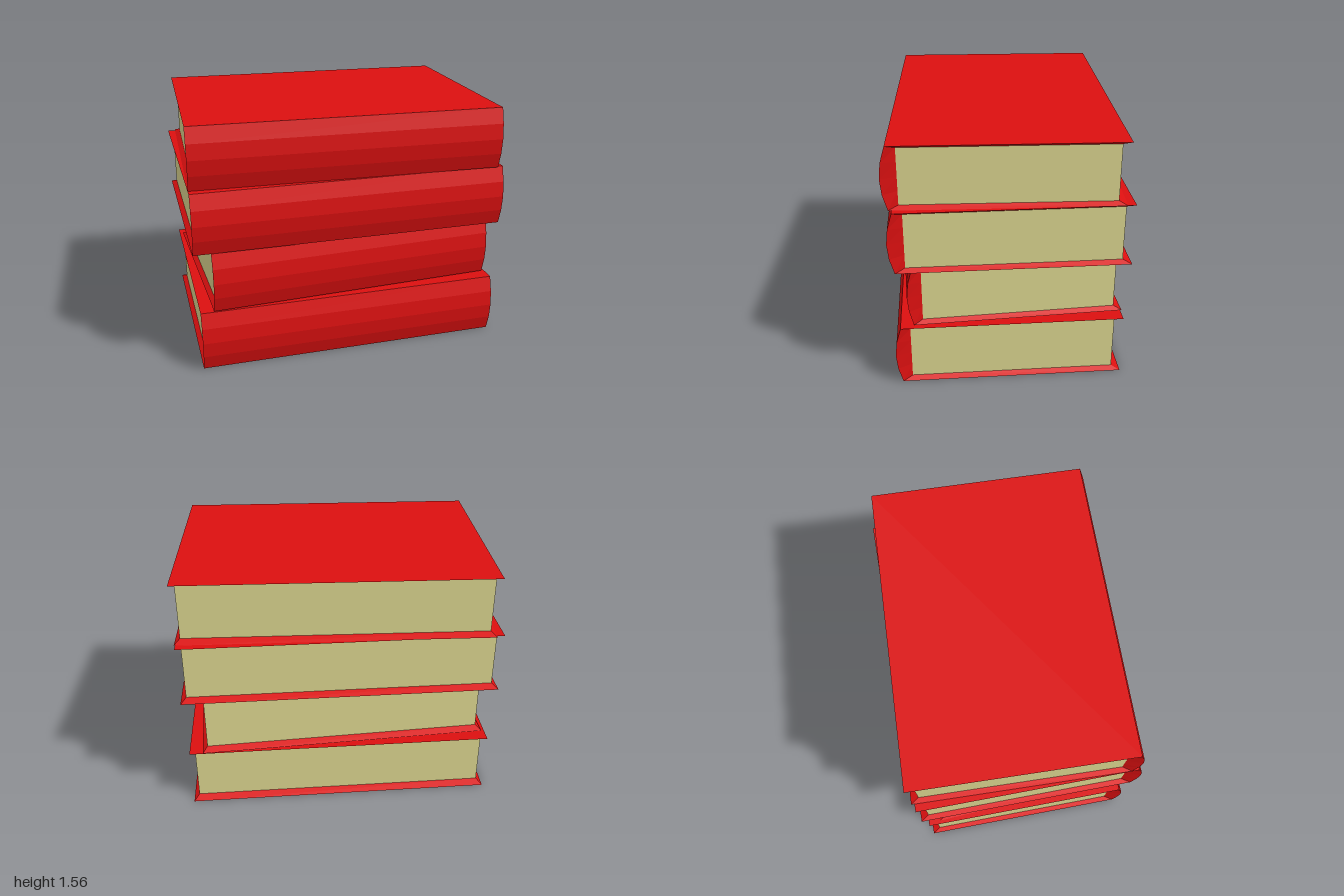
import * as THREE from 'three';

const red = new THREE.MeshStandardMaterial({ color: 0xdc1010, flatShading: true });
const paper = new THREE.MeshStandardMaterial({ color: 0xe0da92, flatShading: true });

const H = 0.388;                                  // book thickness
const BOARD = 0.02;                               // cover board thickness
const OUT_X = 0.972, IN_X = 0.94;                 // half lengths of cover and pages
const PAGE_BACK = -0.635, PAGE_FRONT = 0.627;

// Cover profiles as [z, y], running from the lower back edge round the spine to the upper back edge
const outer = [[-0.685, 0], [0.685, 0], [0.713, H / 4], [0.723, H / 2], [0.713, H * 3 / 4], [0.685, H], [-0.685, H]];
const inner = [[PAGE_BACK, BOARD], ...[0, 1, 2, 3, 4].map(i => [PAGE_FRONT, BOARD + (H - 2 * BOARD) * i / 4]), [PAGE_BACK, H - BOARD]];

// Wrap-round cover: bevelled end, outside shell, bevelled end, then bevelled back edges
function coverGeometry() {
  const sections = [[-IN_X, inner], [-OUT_X, outer], [OUT_X, outer], [IN_X, inner]];
  const at = (j, i) => [sections[j][0], sections[j][1][i][1], sections[j][1][i][0]];
  const pos = [];
  const quad = (a, b, c, d) => pos.push(...a, ...b, ...c, ...a, ...c, ...d);
  for (let j = 0; j < 3; j++) {
    for (let i = 0; i < 6; i++) quad(at(j, i), at(j + 1, i), at(j + 1, i + 1), at(j, i + 1));
  }
  quad(at(0, 0), at(3, 0), at(2, 0), at(1, 0));
  quad(at(0, 6), at(1, 6), at(2, 6), at(3, 6));
  const g = new THREE.BufferGeometry();
  g.setAttribute('position', new THREE.Float32BufferAttribute(pos, 3));
  g.computeVertexNormals();
  return g;
}

export function createModel() {
  const model = new THREE.Group();
  model.name = 'bookStack';
  const coverGeo = coverGeometry();
  const pagesGeo = new THREE.BoxGeometry(2 * IN_X, H - 2 * BOARD, PAGE_FRONT - PAGE_BACK);
  pagesGeo.translate(0, H / 2, (PAGE_FRONT + PAGE_BACK) / 2);

  // Books from bottom to top: position, turn and horizontal scale
  const books = [
    { p: [0, 0, -0.015], turn: 0, s: 1 },
    { p: [-0.002, 0.396, -0.016], turn: 0.048, s: 0.945 },
    { p: [-0.004, 0.785, -0.02], turn: 0, s: 1.022 },
    { p: [0, 1.174, -0.02], turn: -0.036, s: 1 },
  ];
  books.forEach(({ p, turn, s }, i) => {
    const book = new THREE.Group();
    book.name = `book${i + 1}`;
    const cover = new THREE.Mesh(coverGeo, red);
    cover.name = 'cover';
    const pages = new THREE.Mesh(pagesGeo, paper);
    pages.name = 'pages';
    book.add(cover, pages);
    book.position.set(...p);
    book.rotation.y = turn;
    book.scale.set(s, 1, s);
    model.add(book);
  });
  return model;
}
